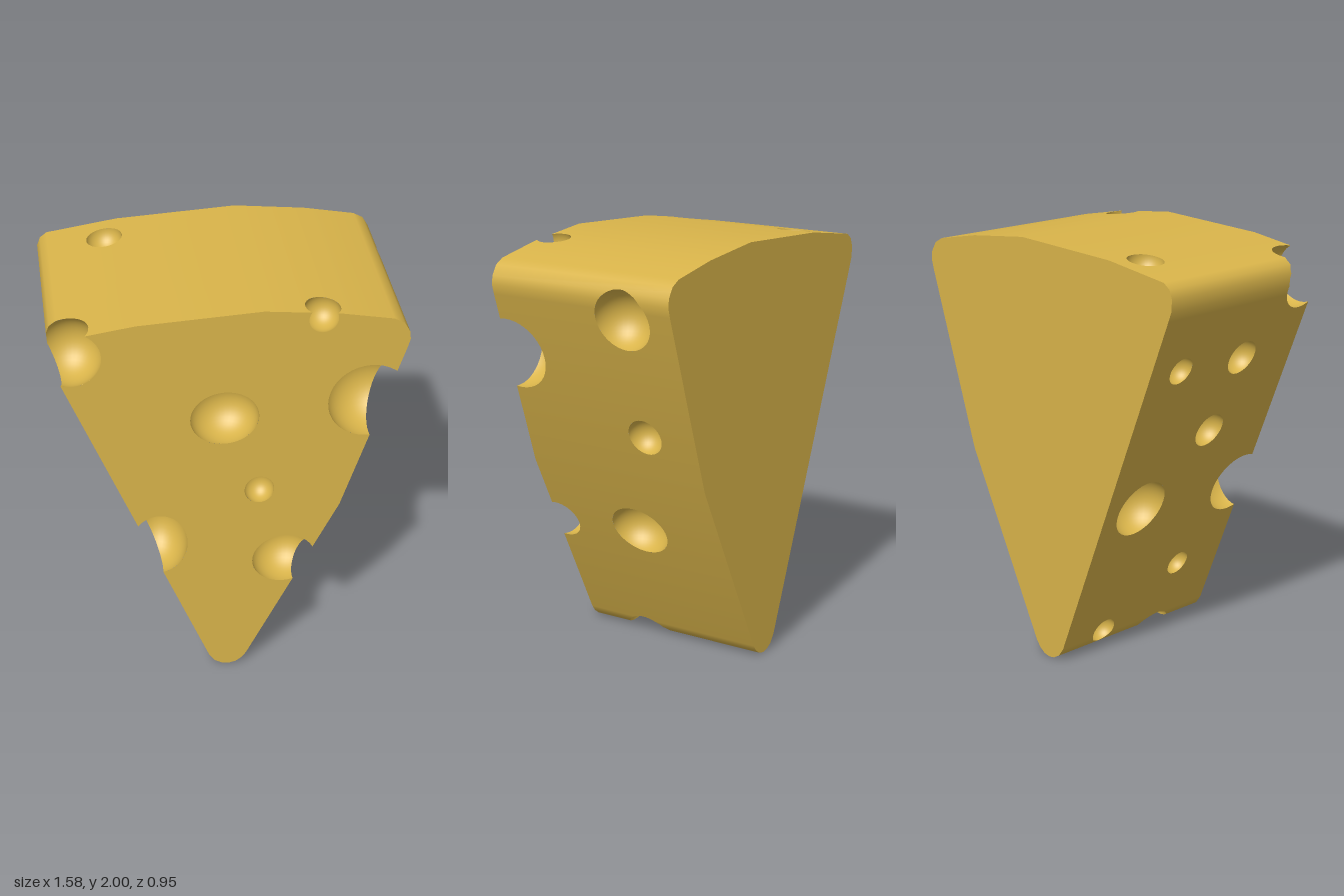
import * as THREE from 'three';

const V = (x, y, z) => new THREE.Vector3(x, y, z);
const BACK = -0.48, FRONT = 0.475;

// Convex wedge outline, counter-clockwise from the lower left
const outline = [
  [-0.103, 0.064], [-0.075, 0.025], [-0.04, 0.005], [-0.01, 0], [0.025, 0.008], [0.055, 0.03], [0.077, 0.06],
  [0.505, 0.93], [0.775, 1.765], [0.787, 1.81], [0.782, 1.85], [0.755, 1.895], [0.71, 1.92],
  [0.47, 1.965], [0.14, 2], [-0.415, 1.97], [-0.743, 1.92], [-0.775, 1.895], [-0.79, 1.855], [-0.787, 1.8], [-0.77, 1.755],
];

// Bubbles: centre, then radius along x, y, z
const bubble = (x, y, z, rx, ry = rx, rz = rx) => ({ c: V(x, y, z), s: V(rx, ry, rz) });
const leftEdge = (y) => -0.103 - 0.394 * (y - 0.064);
const bubbles = [
  // front face and its edges
  bubble(-0.03, 1.46, 0.45, 0.157, 0.14, 0.14),
  bubble(0.13, 1.05, 0.46, 0.07, 0.075, 0.07),
  bubble(0.25, 0.635, 0.455, 0.15, 0.137, 0.145),
  bubble(0.62, 1.5, 0.445, 0.19),
  bubble(0.4, 1.94, 0.42, 0.085),
  bubble(-0.7, 1.82, 0.41, 0.15),
  bubble(-0.335, 0.775, 0.42, 0.14, 0.175, 0.175),
  // top and bottom
  bubble(-0.485, 1.96, -0.325, 0.083),
  bubble(-0.01, -0.01, 0.155, 0.125),
  // +x side
  bubble(0.75, 1.72, -0.22, 0.143),
  bubble(0.575, 1.16, -0.21, 0.088),
  bubble(0.352, 0.63, -0.02, 0.135, 0.135, 0.152),
  // -x side: height, depth, radius
  ...[[1.48, 0.12, 0.087], [1.49, -0.285, 0.068], [1.12, 0.065, 0.087], [0.78, -0.246, 0.148],
    [0.36, 0.18, 0.065], [0.09, -0.22, 0.068]].map(([y, z, r]) => bubble(leftEdge(y) + 0.01, y, z, r)),
];

// Split a convex polygon by the plane n.p = d into [below, above]
function split(poly, n, d) {
  const below = [], above = [];
  poly.forEach((a, i) => {
    const b = poly[(i + 1) % poly.length];
    const da = n.dot(a.p) - d, db = n.dot(b.p) - d;
    if (da <= 0) below.push(a);
    if (da >= 0) above.push(a);
    if (da * db < 0) {
      const t = da / (da - db);
      const m = { p: a.p.clone().lerp(b.p, t), n: a.n.clone().lerp(b.n, t) };
      below.push(m);
      above.push(m);
    }
  });
  return [below, above];
}

// Ring where a bubble meets a face plane, counter-clockwise about n
function ring({ c, s }, n, d, count = 40) {
  const m = n.clone().multiply(s);
  const dist = (d - n.dot(c)) / m.length();
  if (Math.abs(dist) > 0.999) return null;
  m.normalize();
  const e1 = (Math.abs(m.z) < 0.9 ? V(0, 0, 1) : V(1, 0, 0)).cross(m).normalize();
  const e2 = m.clone().cross(e1);
  const r = Math.sqrt(1 - dist * dist);
  return Array.from({ length: count }, (_, i) => {
    const a = (i / count) * Math.PI * 2;
    return m.clone().multiplyScalar(dist).addScaledVector(e1, r * Math.cos(a))
      .addScaledVector(e2, r * Math.sin(a)).multiply(s).add(c);
  });
}

// Convex pieces left of a face after cutting a convex ring out of it
function cut(poly, loop, n) {
  const kept = [];
  let rest = poly;
  for (let i = 0; i < loop.length; i++) {
    const o = loop[(i + 1) % loop.length].clone().sub(loop[i]).cross(n).normalize();
    const [inside, outside] = split(rest, o, o.dot(loop[i]));
    if (outside.length > 2) kept.push(outside);
    if (inside.length < 3) return [poly];
    rest = inside;
  }
  return kept;
}

function meshFrom(polys, name, material) {
  const pos = [], nor = [];
  for (const poly of polys) {
    for (let i = 1; i < poly.length - 1; i++) {
      for (const v of [poly[0], poly[i], poly[i + 1]]) {
        pos.push(...v.p.toArray());
        nor.push(...v.n.clone().normalize().toArray());
      }
    }
  }
  const g = new THREE.BufferGeometry();
  g.setAttribute('position', new THREE.Float32BufferAttribute(pos, 3));
  g.setAttribute('normal', new THREE.Float32BufferAttribute(nor, 3));
  const mesh = new THREE.Mesh(g, material);
  mesh.name = name;
  return mesh;
}

export function createModel() {
  const group = new THREE.Group();
  group.name = 'cheeseWedge';
  const material = new THREE.MeshStandardMaterial({ color: 0xd9b44a });
  const N = outline.length;

  // Flat front and back, then the strip around the outline with smoothed normals
  const cap = (z, n) => ({ n, poly: outline.map(([x, y]) => ({ p: V(x, y, z), n })) });
  const front = cap(FRONT, V(0, 0, 1)), back = cap(BACK, V(0, 0, -1));
  back.poly.reverse();
  const edgeNormal = outline.map(([x, y], i) => {
    const [u, v] = outline[(i + 1) % N];
    return V(v - y, x - u, 0);
  });
  const pointNormal = edgeNormal.map((n, i) => n.clone().add(edgeNormal[(i + N - 1) % N]).normalize());
  const strip = outline.map(([x, y], i) => {
    const j = (i + 1) % N, [u, v] = outline[j];
    return {
      n: edgeNormal[i].clone().normalize(),
      poly: [
        { p: V(x, y, FRONT), n: pointNormal[i] }, { p: V(x, y, BACK), n: pointNormal[i] },
        { p: V(u, v, BACK), n: pointNormal[j] }, { p: V(u, v, FRONT), n: pointNormal[j] },
      ],
    };
  });
  const faces = [front, back, ...strip];
  faces.forEach((f) => { f.d = f.n.dot(f.poly[0].p); });

  // Outer skin with the bubble openings cut away
  const skin = (list) => list.flatMap(({ n, d, poly }) => {
    let pieces = [poly];
    for (const b of bubbles) {
      const loop = ring(b, n, d);
      if (loop) pieces = pieces.flatMap((p) => cut(p, loop, n));
    }
    return pieces;
  });
  group.add(meshFrom(skin([front]), 'frontFace', material));
  group.add(meshFrom(skin([back]), 'backFace', material));
  group.add(meshFrom(skin(strip), 'rind', material));

  // Hollow bubble walls, trimmed to the wedge and facing inward
  const ball = new THREE.SphereGeometry(1, 40, 24).toNonIndexed().getAttribute('position');
  const holes = new THREE.Group();
  holes.name = 'holes';
  for (const { c, s } of bubbles) {
    const walls = [];
    for (let i = 0; i < ball.count; i += 3) {
      let poly = [i + 2, i + 1, i].map((k) => {
        const u = V().fromBufferAttribute(ball, k);
        return { p: u.clone().multiply(s).add(c), n: u.divide(s).negate().normalize() };
      });
      for (const f of faces) {
        poly = split(poly, f.n, f.d)[0];
        if (poly.length < 3) break;
      }
      if (poly.length > 2) walls.push(poly);
    }
    holes.add(meshFrom(walls, 'hole', material));
  }
  group.add(holes);
  return group;
}
